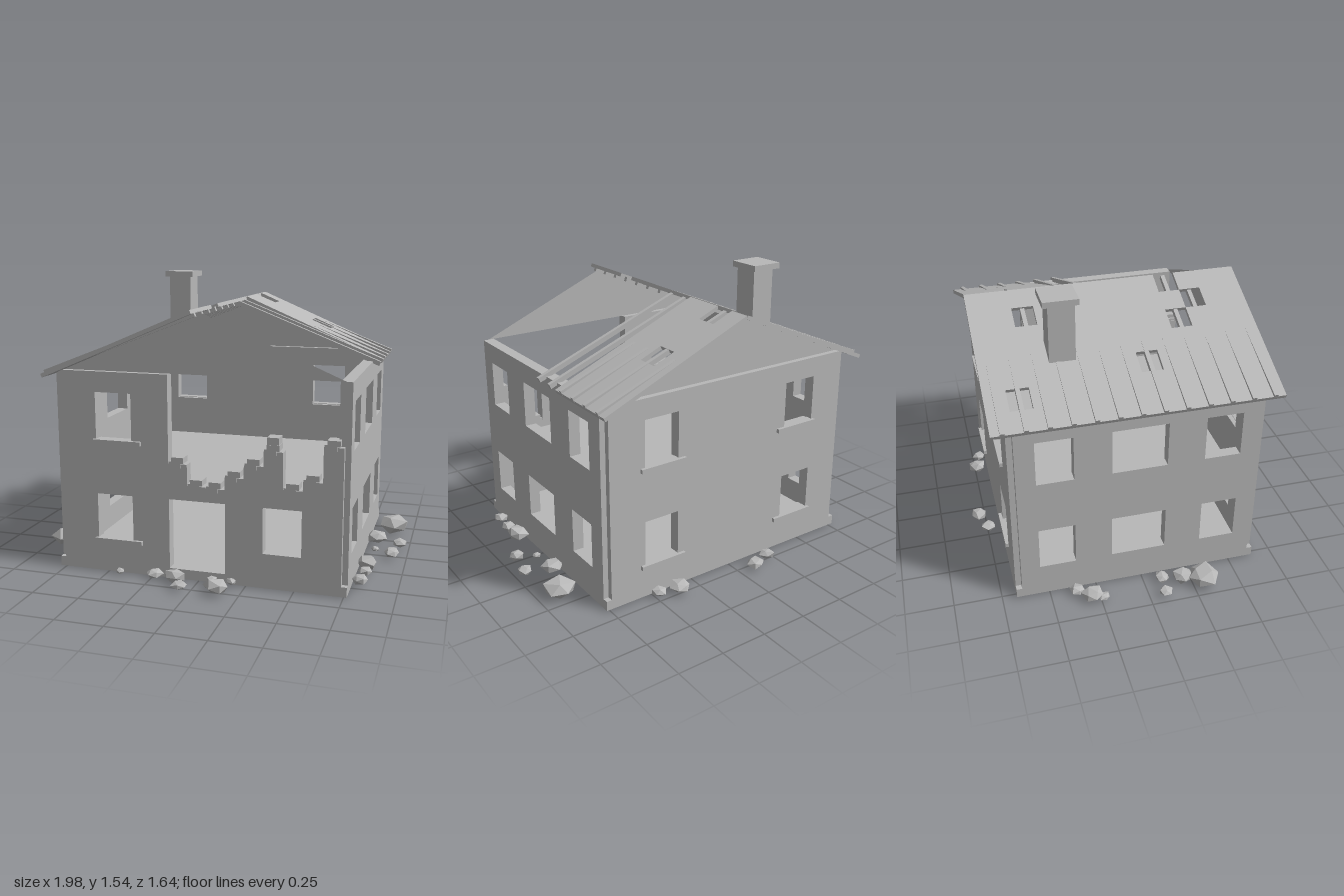
import * as THREE from 'three';

const stone = new THREE.MeshStandardMaterial({ color: 0xb8b8b8, side: THREE.DoubleSide, flatShading: true });
stone.name = 'plainGrey';

const CX = -0.005;              // ridge line in x
const TOP = 1.075, BASE = 0.06; // wall top and base top
const LOW = [0.19, 0.43], HIGH = [0.72, 0.968];

function add(parent, name, geo, x = 0, y = 0, z = 0) {
  const m = new THREE.Mesh(geo, stone);
  m.name = name;
  m.position.set(x, y, z);
  parent.add(m);
  return m;
}

// box from its limits
function block(parent, name, x0, x1, y0, y1, z0, z1) {
  return add(parent, name, new THREE.BoxGeometry(x1 - x0, y1 - y0, z1 - z0),
    (x0 + x1) / 2, (y0 + y1) / 2, (z0 + z1) / 2);
}

// wall plate from an outline with rectangular holes [x0, x1, y0, y1]
function plate(outline, holes, depth = 0.06) {
  const s = new THREE.Shape(outline.map(p => new THREE.Vector2(p[0], p[1])));
  for (const [a, b, c, d] of holes) {
    s.holes.push(new THREE.Path([[a, c], [a, d], [b, d], [b, c]].map(p => new THREE.Vector2(p[0], p[1]))));
  }
  return new THREE.ExtrudeGeometry(s, { depth, bevelEnabled: false });
}

function seeded(seed) {
  return () => {
    seed = (seed * 16807) % 2147483647;
    return seed / 2147483647;
  };
}

// irregular stone: icosahedron with each corner moved in or out
function rubbleGeometry(rand) {
  const g = new THREE.IcosahedronGeometry(1, 0);
  const p = g.attributes.position, seen = {};
  for (let i = 0; i < p.count; i++) {
    const key = [p.getX(i), p.getY(i), p.getZ(i)].map(v => Math.round(v * 100)).join();
    seen[key] ??= 0.8 + rand() * 0.35;
    p.setXYZ(i, p.getX(i) * seen[key], p.getY(i) * seen[key], p.getZ(i) * seen[key]);
  }
  g.computeVertexNormals();
  return g;
}

function buildWalls(house) {
  const L = -0.748, R = 0.738;
  const both = (a, b) => [[a, b, ...LOW], [a, b, ...HIGH]];

  // broken front wall: full height on the left, steps on the right
  const heights = [0.62, 0.51, 0.505, 0.57, 0.64, 0.718, 0.53, 0.58, 0.76];
  const start = -0.155, step = (R - start) / heights.length;
  const front = [[L, 0.03], [L, TOP], [start, TOP]];
  heights.forEach((h, i) => front.push([start + i * step, h], [start + (i + 1) * step, h]));
  front.push([R, 0.03], [0.145, 0.03], [0.145, 0.432], [start + 0.001, 0.432], [start + 0.001, 0.03]);
  add(house, 'frontWall', plate(front, [...both(-0.55, -0.354), [0.34, 0.537, ...LOW]]), 0, 0, 0.575);

  // loose bricks along the break
  const bricks = new THREE.Group();
  bricks.name = 'brokenBricks';
  heights.forEach((h, i) => {
    const x = start + (i + 0.5) * step;
    block(bricks, 'brick', x - 0.032, x + 0.032, h + 0.005, h + 0.035, 0.57, 0.642);
    block(bricks, 'brick', x - 0.045, x + 0.015, h - 0.02, h + 0.012, 0.572, 0.64);
  });
  block(bricks, 'brick', 0.36, 0.42, 0.748, 0.79, 0.57, 0.64);
  house.add(bricks);

  // back wall
  const back = [[L, 0.03], [R, 0.03], [R, TOP], [L, TOP]];
  add(house, 'backWall', plate(back, [...both(-0.55, -0.354), ...both(0.34, 0.537)]), 0, 0, -0.675);

  // side walls, drawn in z and y
  const side = [[-0.645, 0.03], [0.605, 0.03], [0.605, TOP], [-0.645, TOP]];
  const sideHoles = [...both(0.32, 0.51), ...both(-0.163, 0.124), ...both(-0.545, -0.355)];
  for (const [name, x] of [['leftWall', 0.767], ['rightWall', -0.718]]) {
    add(house, name, plate(side, sideHoles), x).rotation.y = -Math.PI / 2;
  }

  // thin gables
  const tri = new THREE.Shape([[L, TOP], [R, TOP], [CX, 1.39]].map(p => new THREE.Vector2(p[0], p[1])));
  add(house, 'frontGable', new THREE.ShapeGeometry(tri), 0, 0, 0.605);
  add(house, 'backGable', new THREE.ShapeGeometry(tri), 0, 0, -0.645);

  // window sills
  for (const y of [0.18, 0.712]) {
    block(house, 'frontSill', -0.564, -0.302, y - 0.011, y + 0.011, 0.6, 0.652);
    for (const x of [-0.433, 0.433]) {
      block(house, 'backSill', x - 0.131, x + 0.131, y - 0.011, y + 0.011, -0.692, -0.64);
    }
  }
}

function buildRoof(house) {
  const roof = new THREE.Group();
  roof.name = 'roof';
  const rows = 7, cols = 13, run = 0.805, w = 1.46 / cols, slope = 0.425;
  const angle = Math.atan(slope), len = run / Math.cos(angle);
  const missing = {
    '-1': ['0,3', '1,2', '2,3', '4,5', '1,10', '5,11'],
    '1': ['0,11', '3,11'],
  };
  const tile = new THREE.BoxGeometry(len / rows, 0.02, w);
  const rafter = new THREE.BoxGeometry(len, 0.025, 0.022);
  for (const s of [-1, 1]) {
    for (let c = s < 0 ? 0 : 7; c < cols; c++) {
      const z = 0.71 - (c + 0.5) * w;
      // rafter, laid a little flatter so its lower half shows above the tiles
      const beam = add(roof, 'rafter', rafter, CX + s * run / 2, 1.392 - slope * run / 2, z);
      beam.rotation.z = -s * (angle - 0.03);
      if (s > 0 && c < 9) continue; // collapsed part
      for (let r = 0; r < rows; r++) {
        if (missing[s].includes(r + ',' + c)) continue;
        const u = (r + 0.5) * run / rows;
        add(roof, 'roofTile', tile, CX + s * u, 1.394 - slope * u, z).rotation.z = -s * angle;
      }
    }
  }
  house.add(roof);

  // chimney
  block(house, 'chimney', -0.468, -0.34, 1.11, 1.52, -0.402, -0.268);
  block(house, 'chimneyCap', -0.49, -0.32, 1.515, 1.546, -0.43, -0.25);
}

function buildRubble(house) {
  const rubble = new THREE.Group();
  rubble.name = 'rubble';
  const rand = seeded(4711);
  // x, z, radius
  const stones = [
    [0.89, -0.425, 0.09], [0.81, -0.195, 0.06], [0.95, -0.147, 0.043], [0.92, 0.013, 0.045],
    [0.825, -0.035, 0.024], [0.81, 0.217, 0.063], [0.815, 0.33, 0.042], [0.805, 0.447, 0.045],
    [-0.91, 0.3, 0.088], [-0.87, 0.2, 0.058], [-0.95, 0.085, 0.038], [-0.85, 0.095, 0.042],
    [-0.885, -0.29, 0.06], [-0.905, -0.235, 0.032], [-0.825, -0.36, 0.04],
    [-0.055, 0.775, 0.04], [0.137, 0.757, 0.068], [0.18, 0.645, 0.03], [0.08, 0.645, 0.03],
    [-0.42, 0.67, 0.026], [-0.23, 0.66, 0.045], [-0.11, 0.68, 0.06],
    [-0.093, -0.785, 0.05], [-0.21, -0.745, 0.045], [0.37, -0.74, 0.055], [0.48, -0.71, 0.04],
  ];
  for (const [x, z, r] of stones) {
    const m = add(rubble, 'stone', rubbleGeometry(rand), x, 0.018 + r * 0.4, z);
    m.scale.set(r, r * 0.58, r);
    m.rotation.y = rand() * 6.28;
  }
  house.add(rubble);
}

export function createModel() {
  const house = new THREE.Group();
  house.name = 'ruinedHouse';
  block(house, 'foundation', -0.778, 0.767, 0.008, BASE, -0.675, 0.635);
  block(house, 'upperFloor', -0.7, 0.69, 0.45, 0.495, -0.595, 0.553);
  buildWalls(house);
  buildRoof(house);
  buildRubble(house);
  return house;
}
